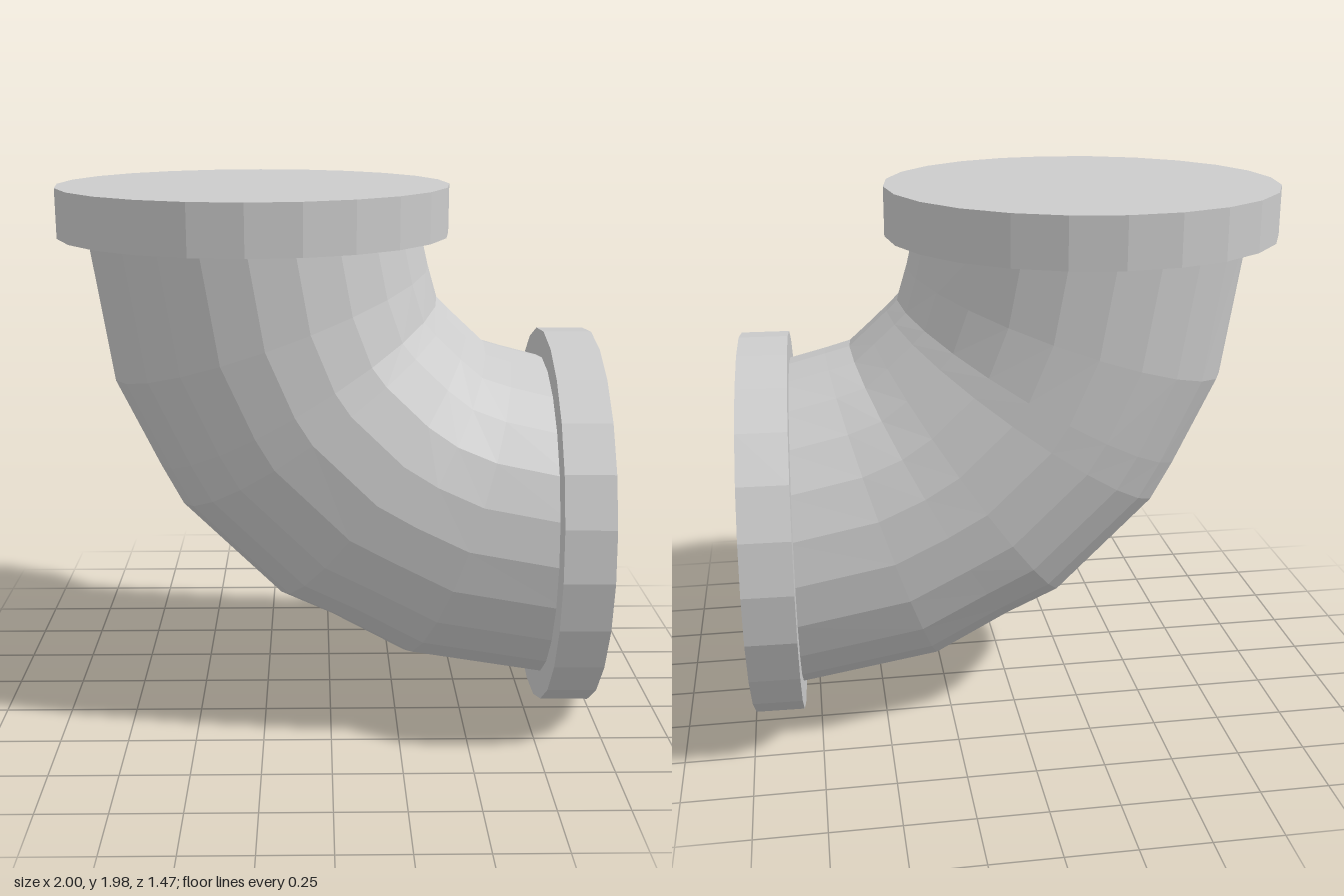
import * as THREE from 'three';

const SIDES = 24;
const material = new THREE.MeshStandardMaterial({ color: 0xcccccc, flatShading: true });

// Bent pipe lofted through elliptical rings; each ring spans an outer and an inner bend point
function elbowGeometry() {
  // [outer x, outer y, inner x, inner y]
  const rings = [
    [-0.895, 1.84, 0.33, 1.84],
    [-0.81, 1.28, 0.365, 1.69],
    [-0.65, 0.95, 0.4, 1.57],
    [-0.57, 0.8, 0.44, 1.53],
    [-0.2, 0.435, 0.51, 1.465],
    [0, 0.345, 0.58, 1.4],
    [0.28, 0.19, 0.67, 1.375],
    [0.84, 0.1, 0.84, 1.33],
  ];
  const positions = [];
  const indices = [];
  rings.forEach(([ox, oy, ix, iy], i) => {
    const cz = THREE.MathUtils.lerp(-0.015, 0.01, i / (rings.length - 1));
    for (let j = 0; j < SIDES; j++) {
      const a = (j / SIDES) * Math.PI * 2;
      const c = Math.cos(a) / 2;
      positions.push(
        (ox + ix) / 2 + (ox - ix) * c,
        (oy + iy) / 2 + (oy - iy) * c,
        cz + 0.617 * Math.sin(a),
      );
      if (i === rings.length - 1) continue;
      const p = i * SIDES + j;
      const q = i * SIDES + ((j + 1) % SIDES);
      indices.push(p, p + SIDES, q, q, p + SIDES, q + SIDES);
    }
  });
  const geometry = new THREE.BufferGeometry();
  geometry.setAttribute('position', new THREE.Float32BufferAttribute(positions, 3));
  geometry.setIndex(indices);
  geometry.computeVertexNormals();
  return geometry;
}

export function createModel() {
  const group = new THREE.Group();
  group.name = 'pipeElbow';

  const elbow = new THREE.Mesh(elbowGeometry(), material);
  elbow.name = 'elbowPipe';
  group.add(elbow);

  // Closed end collars
  const collarGeometry = new THREE.CylinderGeometry(0.72, 0.72, 0.178, SIDES);
  const addCollar = (name, position, axis) => {
    const collar = new THREE.Mesh(collarGeometry, material);
    collar.name = name;
    collar.position.set(...position);
    collar.quaternion.setFromUnitVectors(
      new THREE.Vector3(0, 1, 0),
      new THREE.Vector3(...axis).normalize(),
    );
    group.add(collar);
  };
  addCollar('topFlange', [-0.28, 1.898, -0.018], [0, 1, 0]);
  // The side collar is turned very slightly toward the front
  addCollar('sideFlange', [0.893, 0.722, 0.01], [1, 0, 0.024]);

  return group;
}
